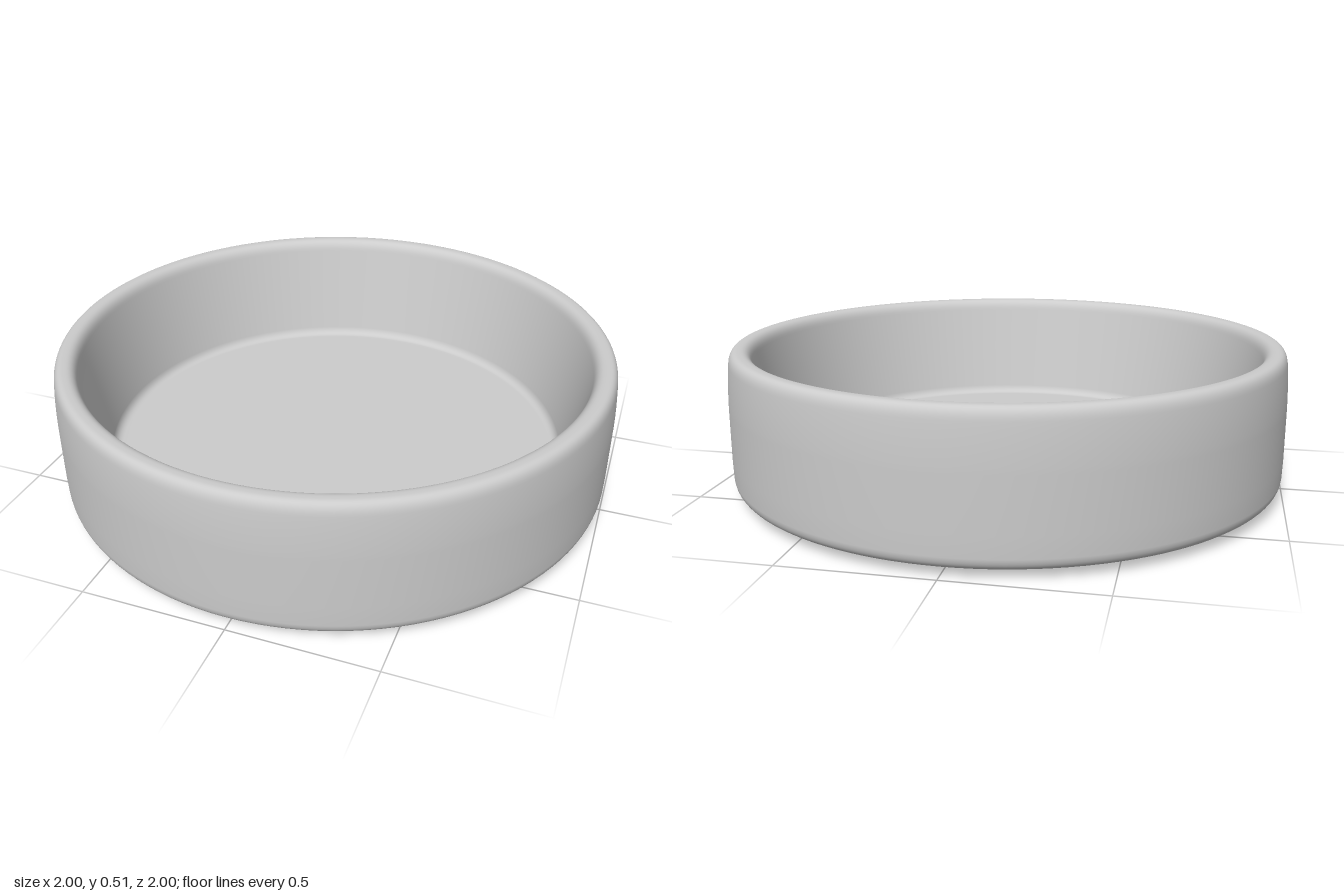
import * as THREE from 'three';

export function createModel() {
  const model = new THREE.Group();
  model.name = 'roundDish';
  const material = new THREE.MeshStandardMaterial({ color: 0xcccccc });

  // Half section: underside centre, out, up the wall, over the rim, down to the floor centre
  const section = new THREE.Path();
  section.moveTo(0, 0.012);
  section.lineTo(0.64, 0.012);
  section.bezierCurveTo(0.69, 0.012, 0.7, 0, 0.75, 0); // shallow recess to foot ring
  section.lineTo(0.81, 0);
  section.quadraticCurveTo(0.84, 0, 0.87, 0.007);
  section.lineTo(0.965, 0.028); // sloping lower edge
  section.quadraticCurveTo(0.995, 0.034, 0.998, 0.07);
  section.lineTo(1, 0.14);
  section.lineTo(1, 0.32);
  section.quadraticCurveTo(0.999, 0.4, 0.992, 0.47);
  section.quadraticCurveTo(0.988, 0.512, 0.96, 0.512); // rounded rim
  section.lineTo(0.95, 0.512);
  section.quadraticCurveTo(0.918, 0.512, 0.91, 0.47);
  section.lineTo(0.832, 0.135); // leaning inner wall
  section.quadraticCurveTo(0.825, 0.107, 0.8, 0.105);
  section.lineTo(0.78, 0.105);
  section.lineTo(0, 0.105);

  const bowl = new THREE.Mesh(new THREE.LatheGeometry(section.getPoints(8), 128), material);
  bowl.name = 'bowl';
  model.add(bowl);
  return model;
}
